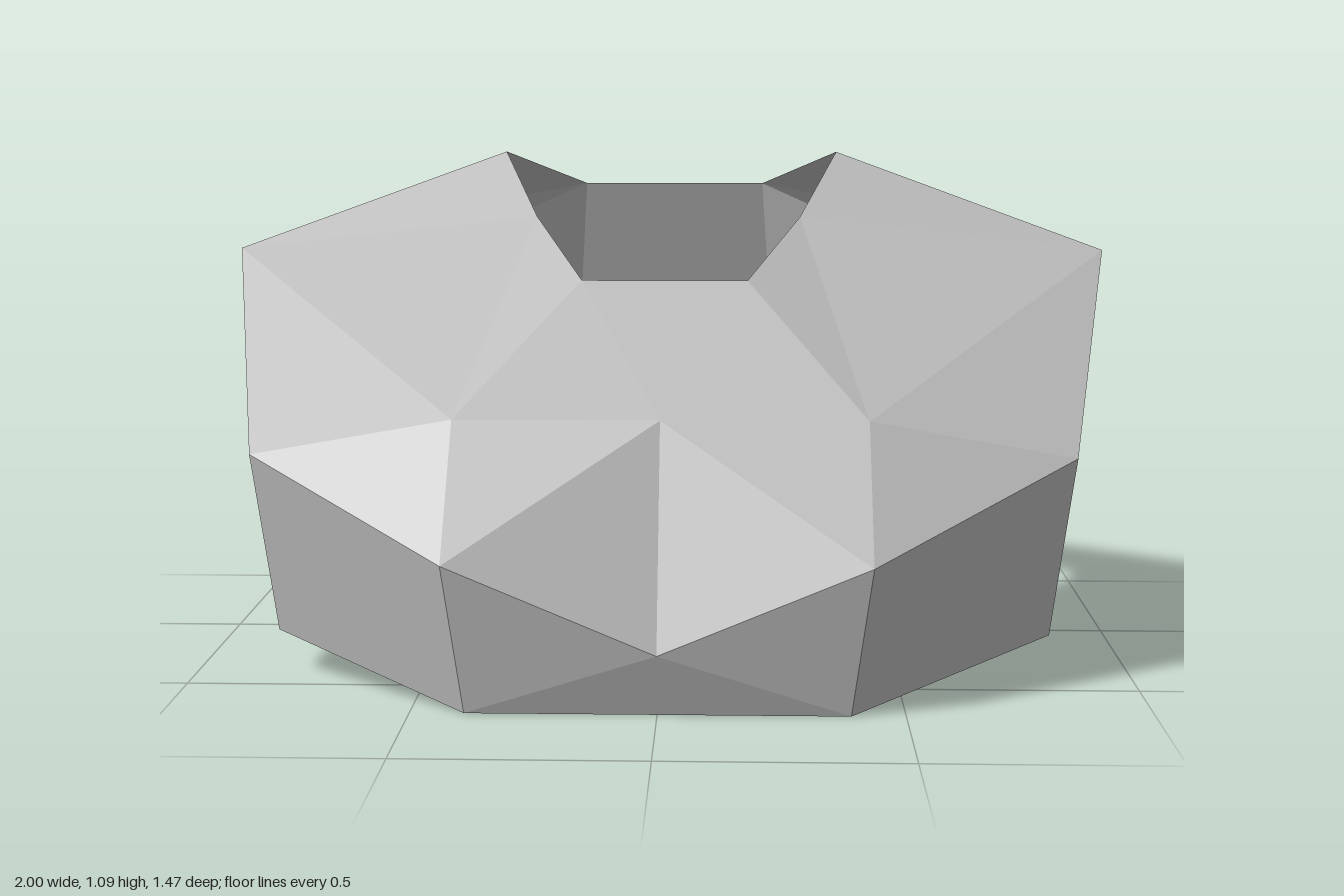
import * as THREE from 'three';

// Corner points of the left half (+x); names ending in 0 lie on the centre line
const P = {
  lip0: [0, 0.83, 0.22], lip: [0.18, 0.83, 0.22], notch: [0.3, 0.95, -0.05],
  peak: [0.39, 1.09, -0.26], rearTop: [0.22, 1, -0.565], rearTop0: [0, 1, -0.565],
  mid0: [0, 0.57, 0.52], mid: [0.43, 0.57, 0.52],
  brow0: [0, 0.13, 0.735], brow: [0.43, 0.31, 0.735], cheek: [0.87, 0.48, 0.435],
  horn: [1, 0.87, -0.13], dent: [0.955, 0.48, -0.13], rearCorner: [0.82, 0.74, -0.39],
  chin0: [0, 0, 0.7], chin: [0.39, 0, 0.7], jaw: [0.825, 0.09, 0.39],
  rearJaw: [0.87, 0.22, -0.52], nape: [0.265, 0.35, -0.735], nape0: [0, 0.35, -0.735],
};

// Panels of each part, corners counter-clockwise from outside
const parts = {
  crownFront: ['mid0 mid lip lip0', 'lip mid notch', 'mid horn notch', 'horn peak notch', 'mid cheek horn'],
  crownRear: ['horn rearTop peak', 'horn rearCorner rearTop'],
  browPlate: ['mid0 brow0 brow', 'mid0 brow mid', 'brow cheek mid'],
  chinGuard: ['brow0 chin0 chin', 'brow0 chin brow', 'brow chin jaw cheek'],
  sidePanels: ['cheek jaw dent horn', 'jaw rearJaw dent', 'dent rearJaw rearCorner', 'dent rearCorner horn'],
  backPanel: ['rearCorner rearJaw nape rearTop', 'rearTop nape nape0 rearTop0'],
};

// Fans every panel into triangles and mirrors it across x = 0
function panelGeometry(panels) {
  const pos = [];
  for (const panel of panels) {
    const c = panel.split(' ').map((n) => P[n]);
    for (let i = 1; i < c.length - 1; i++) {
      pos.push(...c[0], ...c[i], ...c[i + 1]);
      for (const [x, y, z] of [c[0], c[i + 1], c[i]]) pos.push(-x, y, z);
    }
  }
  const geo = new THREE.BufferGeometry();
  geo.setAttribute('position', new THREE.Float32BufferAttribute(pos, 3));
  geo.computeVertexNormals();
  return geo;
}

export function createModel() {
  const group = new THREE.Group();
  group.name = 'openFacetedShell';
  // Thin open shell, seen from inside as well
  const grey = new THREE.MeshStandardMaterial({ color: 0xbcbcbc, side: THREE.DoubleSide, flatShading: true });
  grey.name = 'plain grey';
  for (const [name, panels] of Object.entries(parts)) {
    const mesh = new THREE.Mesh(panelGeometry(panels), grey);
    mesh.name = name;
    group.add(mesh);
  }
  return group;
}
